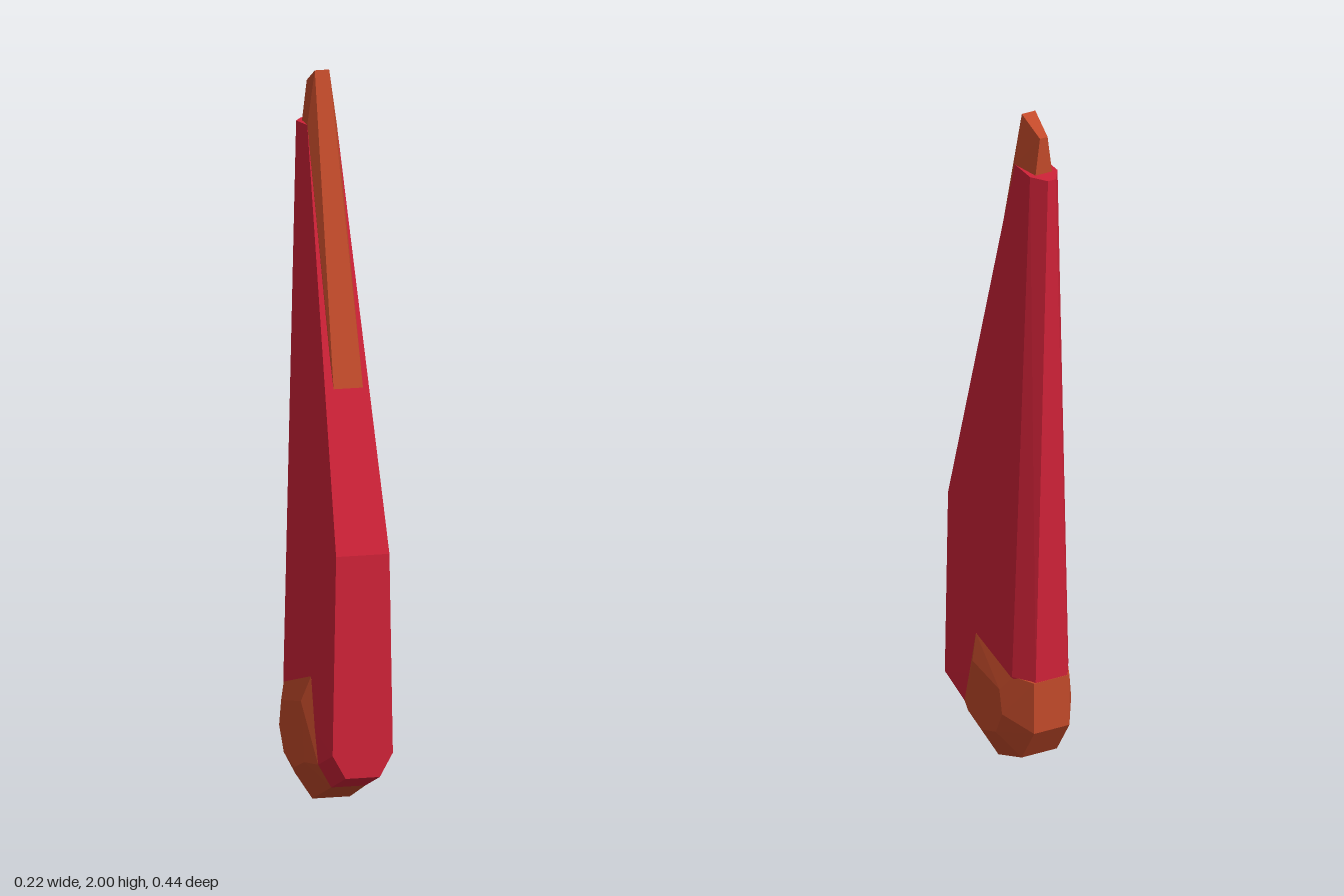
import * as THREE from 'three';
import { ConvexGeometry } from 'three/addons/geometries/ConvexGeometry.js';

// Faceted solid from half its corners [x, y, z], mirrored across x = 0
function mirroredSolid(name, color, corners) {
  const points = [];
  for (const [x, y, z] of corners) {
    points.push(new THREE.Vector3(x, y, z), new THREE.Vector3(-x, y, z));
  }
  const mesh = new THREE.Mesh(
    new ConvexGeometry(points),
    new THREE.MeshStandardMaterial({ color, flatShading: true })
  );
  mesh.name = name;
  return mesh;
}

export function createModel() {
  const group = new THREE.Group();
  group.name = 'taperedFin';
  const red = 0xd02238;
  const orange = 0xc24a2a;

  // Tall red blade: upright front, sloping upper front, chamfered back
  group.add(mirroredSolid('blade', red, [
    [0.05, 0.09, 0.22], [0.088, 0.155, 0.22], [0.078, 0.705, 0.22],
    [0.043, 1.85, -0.09], [0.043, 1.85, -0.175], [0.012, 1.85, -0.22],
    [0.05, 0.31, -0.219], [0.088, 0.31, -0.155],
    [0.05, 0.05, 0.11], [0.088, 0.115, 0.11],
    // Ends hidden inside the heel
    [0.045, 0.02, -0.01], [0.04, 0.17, -0.2],
  ]));

  // Orange spine lying on the slope and rising past the blade tip
  group.add(mirroredSolid('spine', orange, [
    [0.043, 1.15, 0.11], [0.021, 2.0, -0.09], [0.043, 1.85, -0.09],
    [0.012, 1.96, -0.175], [0.027, 1.84, -0.175],
  ]));

  // Faceted heel wrapped round the lower back
  group.add(mirroredSolid('heel', orange, [
    // Outer side panel
    [0.108, 0.115, 0.055], [0.108, 0.09, -0.02], [0.108, 0.12, -0.1],
    [0.108, 0.19, -0.135], [0.108, 0.26, -0.12], [0.108, 0.28, 0.03],
    // Rim
    [0.086, 0.35, 0.05], [0.086, 0.31, -0.155], [0.055, 0.31, -0.22],
    [0.055, 0.155, -0.22], [0.055, 0.05, -0.15], [0.055, 0, -0.02],
    [0.05, 0.05, 0.11], [0.088, 0.115, 0.11],
  ]));

  return group;
}
